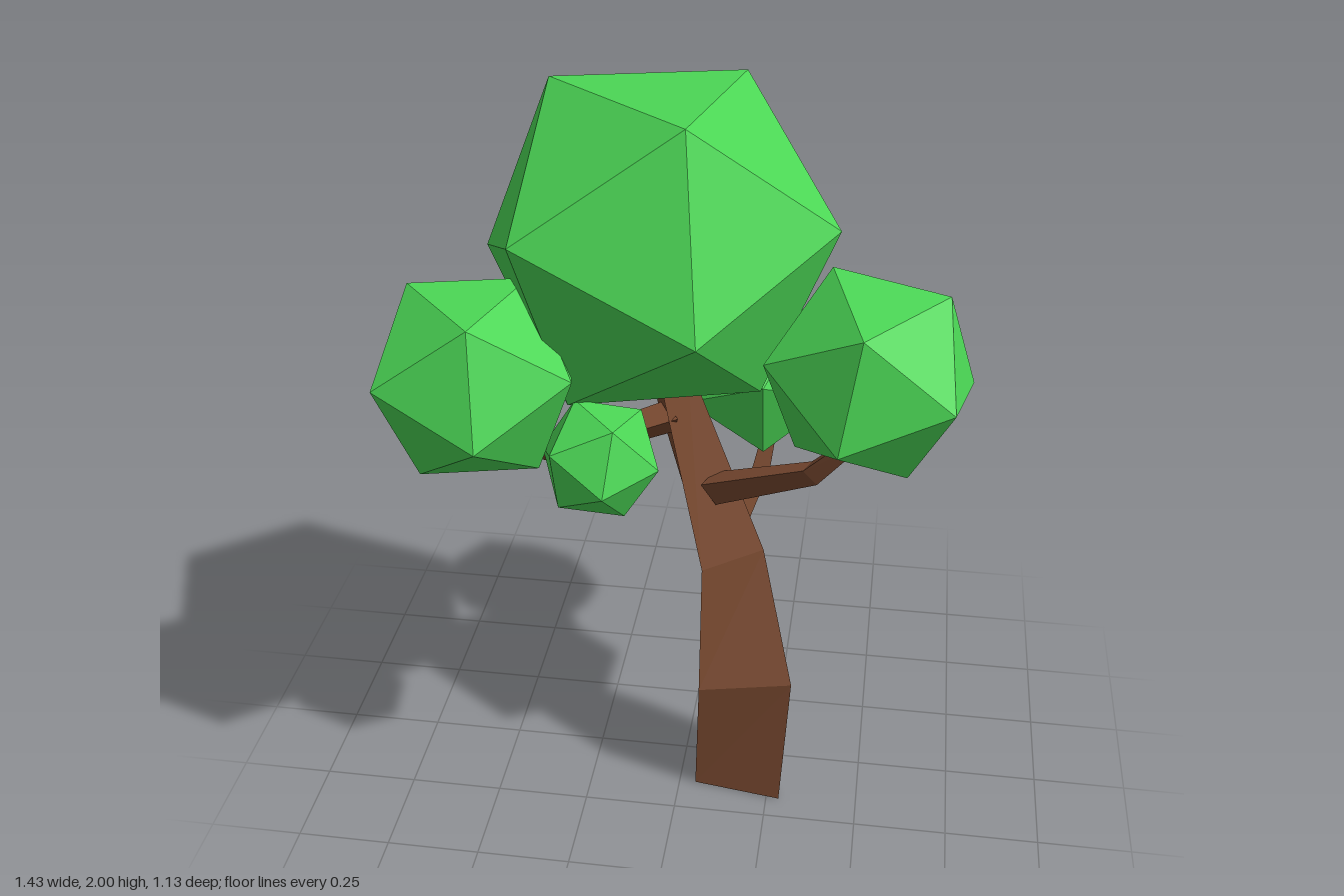
import * as THREE from 'three';

const leafGreen = new THREE.MeshStandardMaterial({ color: 0x4bd655, flatShading: true });
leafGreen.name = 'leafGreen';
const barkBrown = new THREE.MeshStandardMaterial({ color: 0x784930, flatShading: true });
barkBrown.name = 'barkBrown';

const vec = (p) => new THREE.Vector3(...p);

// Skin of flat quads between rings of points (counterclockwise about the path), capped at both ends
function loft(rings) {
  const pos = [];
  const tri = (...pts) => pts.forEach((p) => pos.push(p.x, p.y, p.z));
  const n = rings[0].length;
  for (let k = 0; k < rings.length - 1; k++) {
    const lo = rings[k], hi = rings[k + 1];
    for (let i = 0; i < n; i++) {
      const j = (i + 1) % n;
      tri(lo[i], lo[j], hi[j]);
      tri(lo[i], hi[j], hi[i]);
    }
  }
  const first = rings[0], last = rings[rings.length - 1];
  for (let i = 1; i < n - 1; i++) {
    tri(first[0], first[i + 1], first[i]);
    tri(last[0], last[i], last[i + 1]);
  }
  const geo = new THREE.BufferGeometry();
  geo.setAttribute('position', new THREE.Float32BufferAttribute(pos, 3));
  geo.computeVertexNormals();
  return geo;
}

// Three-sided tapering branch along a path of points
function branch(name, path, radii) {
  const pts = path.map(vec);
  const rings = pts.map((p, k) => {
    const t = pts[Math.min(k + 1, pts.length - 1)].clone().sub(pts[Math.max(k - 1, 0)]).normalize();
    const side = new THREE.Vector3(0, 1, 0).cross(t).normalize();
    const up = t.clone().cross(side);
    return [0, 1, 2].map((i) => {
      const a = (i / 3) * Math.PI * 2 + 0.4;
      return p.clone().addScaledVector(side, Math.cos(a) * radii[k]).addScaledVector(up, Math.sin(a) * radii[k]);
    });
  });
  const mesh = new THREE.Mesh(loft(rings), barkBrown);
  mesh.name = name;
  return mesh;
}

// Icosahedron turned so that two neighbouring corners point towards p and q
function leafBall(name, center, radius, p, q) {
  const c = vec(center);
  const a = vec(p).sub(c).normalize();
  const b = vec(q).sub(c).normalize();
  const x = b.clone().sub(a).normalize();
  const y = a.clone().add(b).normalize();
  const z = x.clone().cross(y);
  const mesh = new THREE.Mesh(new THREE.IcosahedronGeometry(radius, 0), leafGreen);
  mesh.quaternion.setFromRotationMatrix(new THREE.Matrix4().makeBasis(x, y, z));
  mesh.position.copy(c);
  mesh.name = name;
  return mesh;
}

export function createModel() {
  const tree = new THREE.Group();
  tree.name = 'tree';

  // Twisting, leaning three-sided trunk
  const trunk = new THREE.Mesh(loft([
    [[0.285, 0, 0.18], [0.17, 0, -0.05], [0.045, 0, 0.145]],
    [[0.305, 0.38, 0.143], [0.137, 0.38, -0.04], [0.06, 0.38, 0.197]],
    [[0.21, 0.74, 0.03], [0.02, 0.74, -0.042], [0.06, 0.74, 0.148]],
    [[0, 1.28, 0], [-0.106, 1.28, 0.01], [-0.05, 1.28, 0.12]],
    [[-0.04, 1.4, 0.01], [-0.12, 1.4, 0.02], [-0.08, 1.4, 0.1]],
  ].map((ring) => ring.map(vec))), barkBrown);
  trunk.name = 'trunk';
  tree.add(trunk);

  // Branches
  tree.add(
    branch('leftBranch', [[0.07, 0.95, 0.07], [0.33, 1.055, 0.13], [0.45, 1.19, 0.16]], [0.05, 0.036, 0.022]),
    branch('rightBranch', [[-0.03, 1.15, 0.07], [-0.28, 1.125, 0.23], [-0.45, 1.18, 0.3]], [0.048, 0.036, 0.022]),
    branch('backBranch', [[0.13, 0.78, 0.01], [0.18, 0.835, -0.2], [0.2, 0.95, -0.31]], [0.042, 0.03, 0.02]),
  );

  // Foliage
  tree.add(
    leafBall('crown', [-0.061, 1.638, 0.069], 0.45, [-0.32, 2, 0.01], [0.04, 2, 0.313]),
    leafBall('leftFoliage', [0.463, 1.362, 0.162], 0.271, [0.36, 1.603, 0.095], [0.634, 1.57, 0.149]),
    leafBall('rightFoliage', [-0.465, 1.362, 0.309], 0.269, [-0.619, 1.577, 0.271], [-0.427, 1.571, 0.477]),
    leafBall('backFoliage', [0.155, 1.093, -0.339], 0.238, [0.126, 1.27, -0.489], [0.28, 1.286, -0.291]),
    leafBall('smallFoliage', [-0.165, 1.172, 0.325], 0.154, [-0.116, 1.296, 0.405], [-0.134, 1.148, 0.47]),
  );
  return tree;
}
